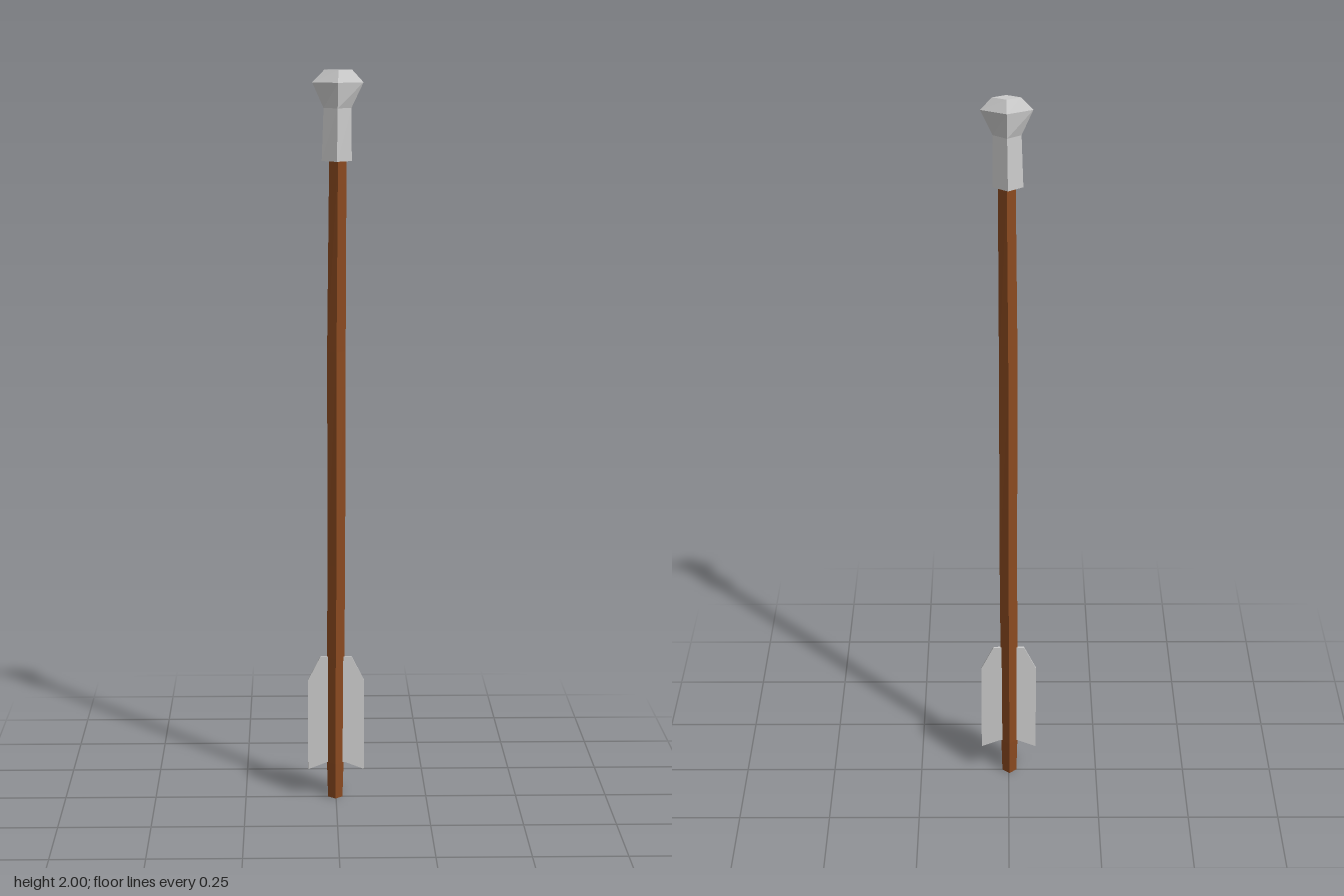
import * as THREE from 'three';

const flat = (color) => new THREE.MeshStandardMaterial({ color, flatShading: true });

// Four-sided diamond loft; stations from bottom to top: [y, centreX, halfX, halfZ]
function diamondLoft(stations) {
  const n = stations.length - 1;
  const geo = new THREE.CylinderGeometry(1, 1, 1, 4, n);
  const p = geo.attributes.position;
  for (let i = 0; i < p.count; i++) {
    const [y, cx, rx, rz] = stations[Math.round((p.getY(i) + 0.5) * n)];
    p.setXYZ(i, cx + p.getX(i) * rx, y, p.getZ(i) * rz);
  }
  geo.computeVertexNormals();
  return geo;
}

export function createModel() {
  const group = new THREE.Group();
  const add = (name, geo, mat) => {
    const mesh = new THREE.Mesh(geo, mat);
    mesh.name = name;
    group.add(mesh);
    return mesh;
  };
  const grey = flat(0xcccccc);

  // Slightly uneven wooden shaft, tapered at the tail
  add('shaft', diamondLoft([
    [0, -0.002, 0.02, 0.02],
    [0.1, -0.002, 0.023, 0.023],
    [0.4, -0.001, 0.024, 0.024],
    [0.66, 0.001, 0.024, 0.024],
    [1.25, 0.001, 0.025, 0.024],
    [1.78, 0.005, 0.023, 0.024],
  ]), flat(0x8b4a20));

  // Blunt flared head with its socket
  add('head', diamondLoft([
    [1.76, 0.002, 0.04, 0.034],
    [1.9, 0.004, 0.037, 0.031],
    [1.967, 0.005, 0.068, 0.039],
    [2, 0.006, 0.037, 0.021],
  ]), grey);

  // Two thin mirrored fletchings
  const t = 0.006;
  for (const [name, s] of [['leftFletching', 1], ['rightFletching', -1]]) {
    const outline = [[0, 0.1], [0.025, 0.1], [0.077, 0.08], [0.077, 0.335], [0.043, 0.402], [0, 0.402]];
    const shape = new THREE.Shape(outline.map(([x, y]) => new THREE.Vector2(x * s, y)));
    const geo = new THREE.ExtrudeGeometry(shape, { depth: t, bevelEnabled: false });
    add(name, geo.translate(0, 0, -t / 2), grey);
  }
  return group;
}
